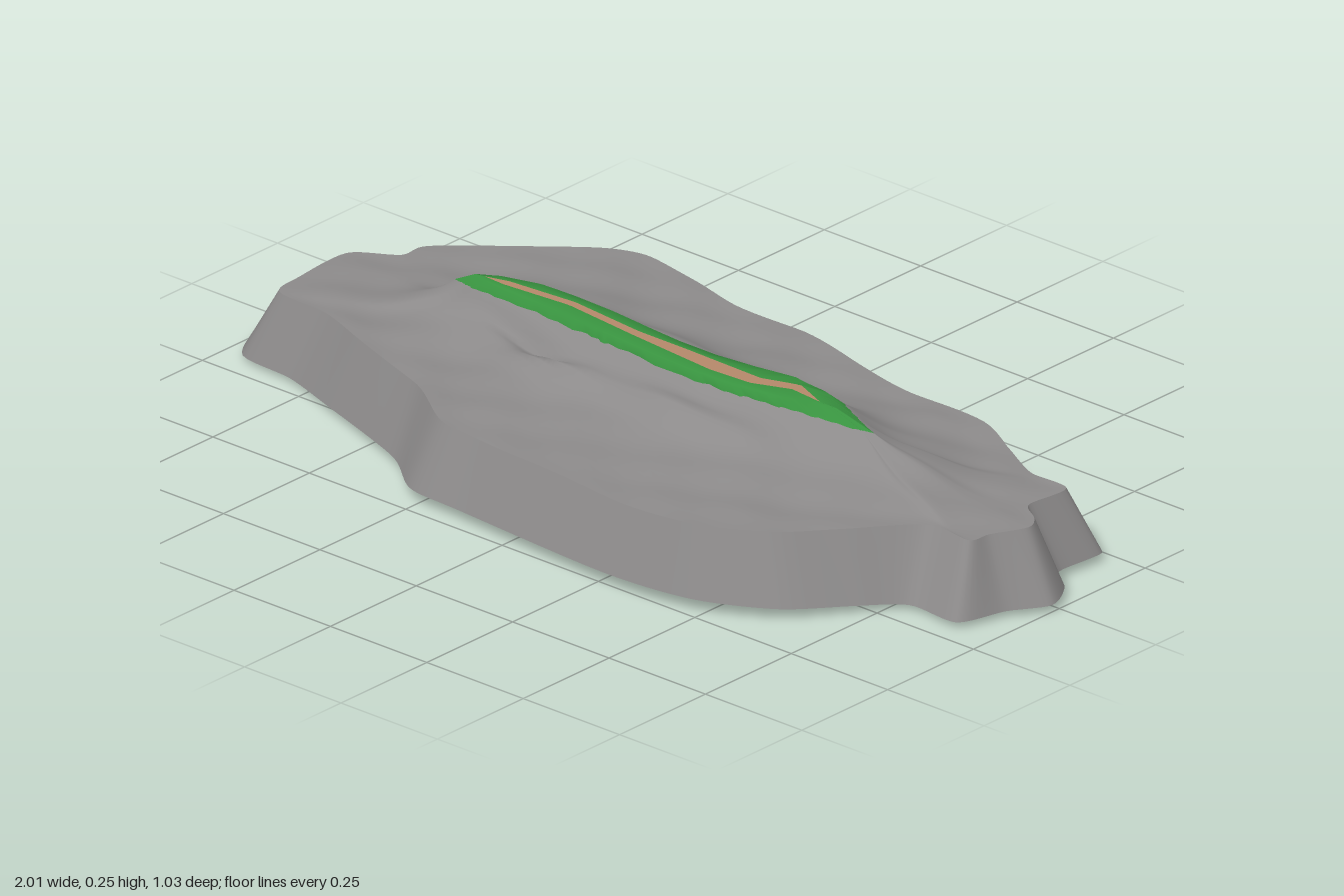
import * as THREE from 'three';

// Coastline control points: base x, base z, rim x, rim z
const COAST = [
  [1, .02, .92, 0], [.965, -.055, .9, -.04], [.91, -.1, .85, -.08], [.915, -.22, .85, -.19],
  [.83, -.25, .75, -.2], [.68, -.32, .64, -.26], [.51, -.36, .52, -.32], [.33, -.37, .32, -.33],
  [.16, -.42, .16, -.36], [0, -.45, -.02, -.405], [-.18, -.455, -.2, -.405], [-.34, -.5, -.34, -.44],
  [-.5, -.52, -.48, -.47], [-.6, -.48, -.56, -.44], [-.72, -.38, -.66, -.35], [-.89, -.25, -.82, -.21],
  [-.9, -.17, -.83, -.14], [-1, -.07, -.91, -.07], [-1, .08, -.9, .08], [-.94, .2, -.88, .16],
  [-.8, .22, -.75, .175], [-.66, .27, -.61, .23], [-.4, .37, -.39, .31], [-.27, .465, -.24, .41],
  [-.13, .48, -.12, .425], [.27, .51, .27, .46], [.48, .485, .46, .44], [.63, .4, .58, .36],
  [.72, .28, .66, .26], [.79, .2, .77, .13], [.91, .2, .88, .13], [.95, .1, .89, .08],
];
// Edges of the grass and the path: x, back z, front z
const GRASS = [[-.56, .01, .01], [-.5, -.03, .025], [-.4, -.06, .03], [-.2, -.055, .045], [0, -.035, .06],
  [.1, -.035, .065], [.2, -.05, .06], [.3, -.075, .045], [.4, -.055, .03], [.47, -.02, .02], [.52, 0, 0]];
const PATH = [[-.49, 0, 0], [-.44, -.015, .003], [-.28, -.028, -.01], [-.1, -.01, .01], [.03, -.01, .022],
  [.12, -.008, .03], [.22, -.006, .024], [.3, -.034, -.008], [.38, 0, 0]];
const N = COAST.length * 7;
const RINGS = 24;

// Piecewise-linear lookup in one column of a table
function lookup(table, x, col) {
  let i = 0;
  while (i < table.length - 2 && x > table[i + 1][0]) i++;
  const a = table[i], b = table[i + 1];
  const k = THREE.MathUtils.clamp((x - a[0]) / (b[0] - a[0]), 0, 1);
  return a[col] + (b[col] - a[col]) * k;
}

// Point on the outline of a long strip, at an angle seen from above
function stripPoint(table, angle, y) {
  const x0 = table[0][0], x1 = table[table.length - 1][0];
  const x = (x0 + x1) / 2 + (x1 - x0) / 2 * Math.cos(angle);
  return new THREE.Vector3(x, y, lookup(table, x, Math.sin(angle) > 0 ? 1 : 2));
}

function coastLoop(col, heightAt) {
  const curve = new THREE.CatmullRomCurve3(
    COAST.map(c => new THREE.Vector3(c[col], 0, c[col + 1])), true, 'catmullrom', .4);
  return Array.from({ length: N }, (_, i) => {
    const p = curve.getPoint(i / N);
    p.y = heightAt(p);
    return p;
  });
}

// Skin joining closed loops, ordered from the outside inwards
function loft(name, loops, material) {
  const positions = loops.flat().flatMap(p => [p.x, p.y, p.z]);
  const index = [];
  for (let r = 0; r < loops.length - 1; r++) {
    for (let i = 0; i < N; i++) {
      const j = (i + 1) % N;
      const a = r * N + i, b = r * N + j, c = a + N, d = b + N;
      index.push(a, b, c, b, d, c);
    }
  }
  const geometry = new THREE.BufferGeometry();
  geometry.setAttribute('position', new THREE.Float32BufferAttribute(positions, 3));
  geometry.setIndex(index);
  geometry.computeVertexNormals();
  const mesh = new THREE.Mesh(geometry, material);
  mesh.name = name;
  return mesh;
}

const bump = (p, x, z, sx, sz) => Math.exp(-(((p.x - x) / sx) ** 2) - ((p.z - z) / sz) ** 2);

export function createModel() {
  const paint = color => new THREE.MeshStandardMaterial({ color, side: THREE.DoubleSide });
  const rock = paint(0x8c8a8a);
  const group = new THREE.Group();
  group.name = 'island';

  // Sloping cliff, open underneath
  const base = coastLoop(0, p => p.z > .2 ? .012 + (p.z - .2) * .055
    : p.z < -.2 ? .018 + (p.z + .2) * .056 : .015 - p.z * .015);
  const rim = coastLoop(2, p => .149 + p.z * .03 + .002 * Math.sin(p.x * 17));
  group.add(loft('cliff', [base, rim], rock));

  // Nested outlines of the summit, dipping at both tips
  const angles = rim.map(p => Math.atan2(-p.z / .46, p.x / .9));
  const path = angles.map(a => stripPoint(PATH, a, .25));
  const centre = path.map(p => new THREE.Vector3(p.x, .25, (lookup(PATH, p.x, 1) + lookup(PATH, p.x, 2)) / 2));
  const foot = angles.map(a => stripPoint(GRASS, a, .232 - .006 * Math.cos(a) ** 6));
  const grass = foot.map((p, i) => {
    const ragged = Math.abs(Math.sin(angles[i])) * (.5 + .3 * Math.sin(i * 1.9) + .2 * Math.sin(i * .83));
    return p.clone().lerp(path[i], .16 * ragged);
  });
  const plateau = foot.map((p, i) => p.clone().lerp(path[i], .25 + .45 * Math.cos(angles[i]) ** 4).setY(.25));

  // Hillside falling from the grass to the rim, with shoulders and a gully
  const hill = [];
  for (let r = 0; r < RINGS; r++) {
    const t = (1 - r / RINGS) ** 1.3;
    hill.push(rim.map((outer, i) => {
      const p = foot[i].clone().lerp(outer, t);
      const c = Math.cos(angles[i]);
      const steep = 3.2 + (c > 0 ? -1.5 : .8) * c ** 4;
      const relief = .026 * bump(p, .12, .135, .17, .035) + .018 * bump(p, -.05, -.13, .2, .05)
        - .028 * bump(p, -.32, .075 + (p.x + .32) * .25, .13, .02) + .02 * bump(p, -.2, .135, .12, .025)
        + .004 * Math.sin(p.x * 23 + p.z * 9) * Math.sin(p.z * 31 - p.x * 6);
      p.y = outer.y + (foot[i].y - outer.y) * (1 - t) ** steep + relief * Math.min(1, 6 * t * (1 - t));
      return p;
    }));
  }
  group.add(loft('hillside', [...hill, grass], rock));

  // Grassy top with a ragged edge, and the path along it
  group.add(loft('grass', [grass, plateau, path], paint(0x38923f)));
  group.add(loft('path', [path, centre], paint(0xb4886a)));
  return group;
}
